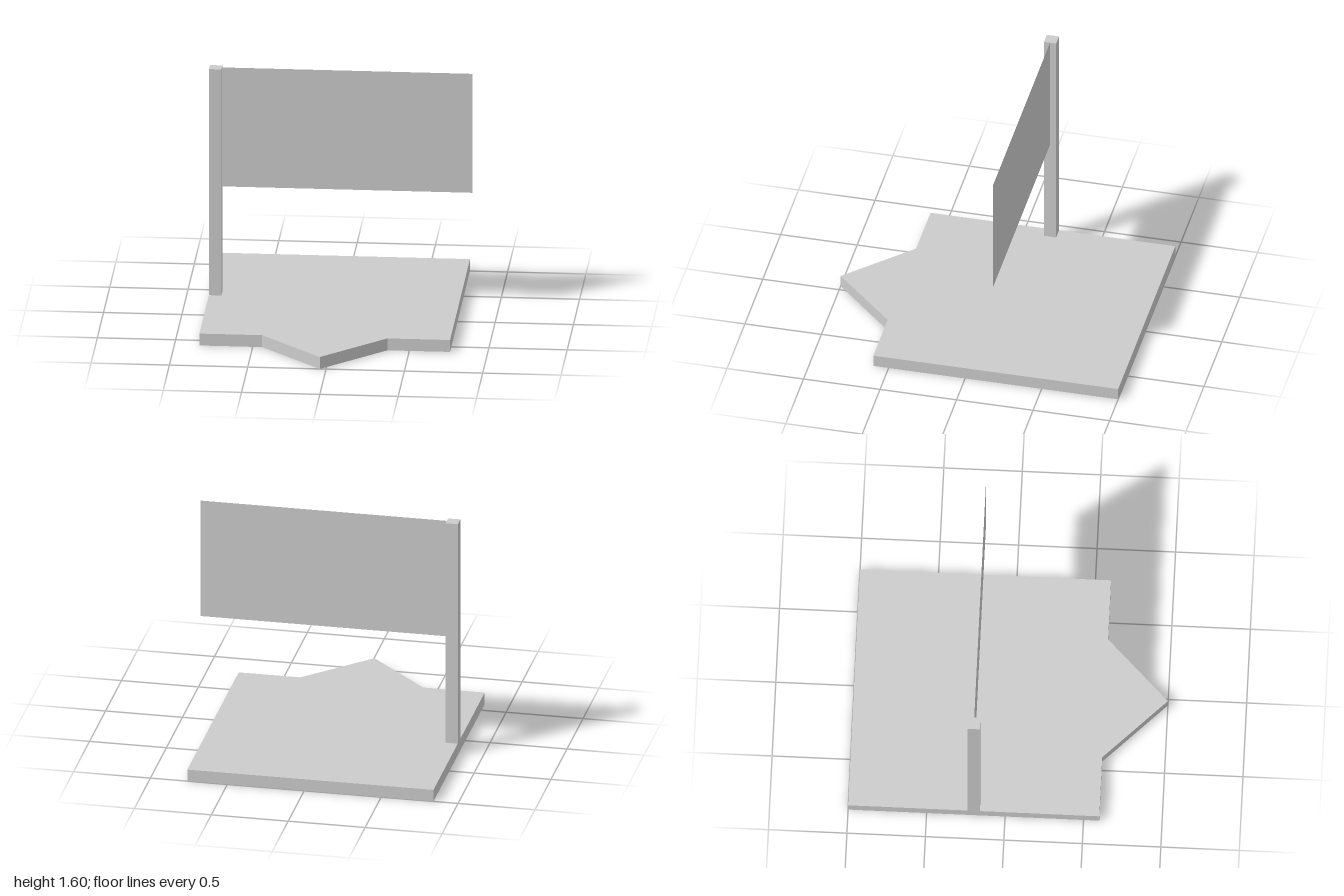
import * as THREE from 'three';

const grey = new THREE.MeshStandardMaterial({ color: 0xcccccc, flatShading: true });
const greyThin = new THREE.MeshStandardMaterial({ color: 0xcccccc, side: THREE.DoubleSide });

const BASE_H = 0.08, POLE_W = 0.08, TOP = 1.6;
const POLE_X = -0.8, POLE_Z = -0.2;

function addPart(group, name, geometry, material, x, y, z) {
  const mesh = new THREE.Mesh(geometry, material);
  mesh.name = name;
  mesh.position.set(x, y, z);
  group.add(mesh);
}

export function createModel() {
  const group = new THREE.Group();
  group.name = 'flagOnBase';

  // Square base plate with a pointed front; outline drawn in (x, z)
  const outline = new THREE.Shape([
    [-0.84, -1], [0.76, -1], [0.76, 0.6], [0.36, 0.6],
    [-0.04, 1], [-0.44, 0.6], [-0.84, 0.6],
  ].map(([x, z]) => new THREE.Vector2(x, z)));
  const base = new THREE.ExtrudeGeometry(outline, { depth: BASE_H, bevelEnabled: false });
  base.rotateX(Math.PI / 2);
  addPart(group, 'base', base, grey, 0, BASE_H, 0);

  // Square pole standing on the base's right edge
  const poleH = TOP - BASE_H;
  addPart(group, 'pole', new THREE.BoxGeometry(POLE_W, poleH, POLE_W), grey,
    POLE_X, BASE_H + poleH / 2, POLE_Z);

  // Thin flag panel reaching out from the pole
  const flagW = 1.6, flagH = 0.8;
  addPart(group, 'flag', new THREE.PlaneGeometry(flagW, flagH), greyThin,
    POLE_X + POLE_W / 2 + flagW / 2, TOP - flagH / 2, POLE_Z);

  return group;
}
